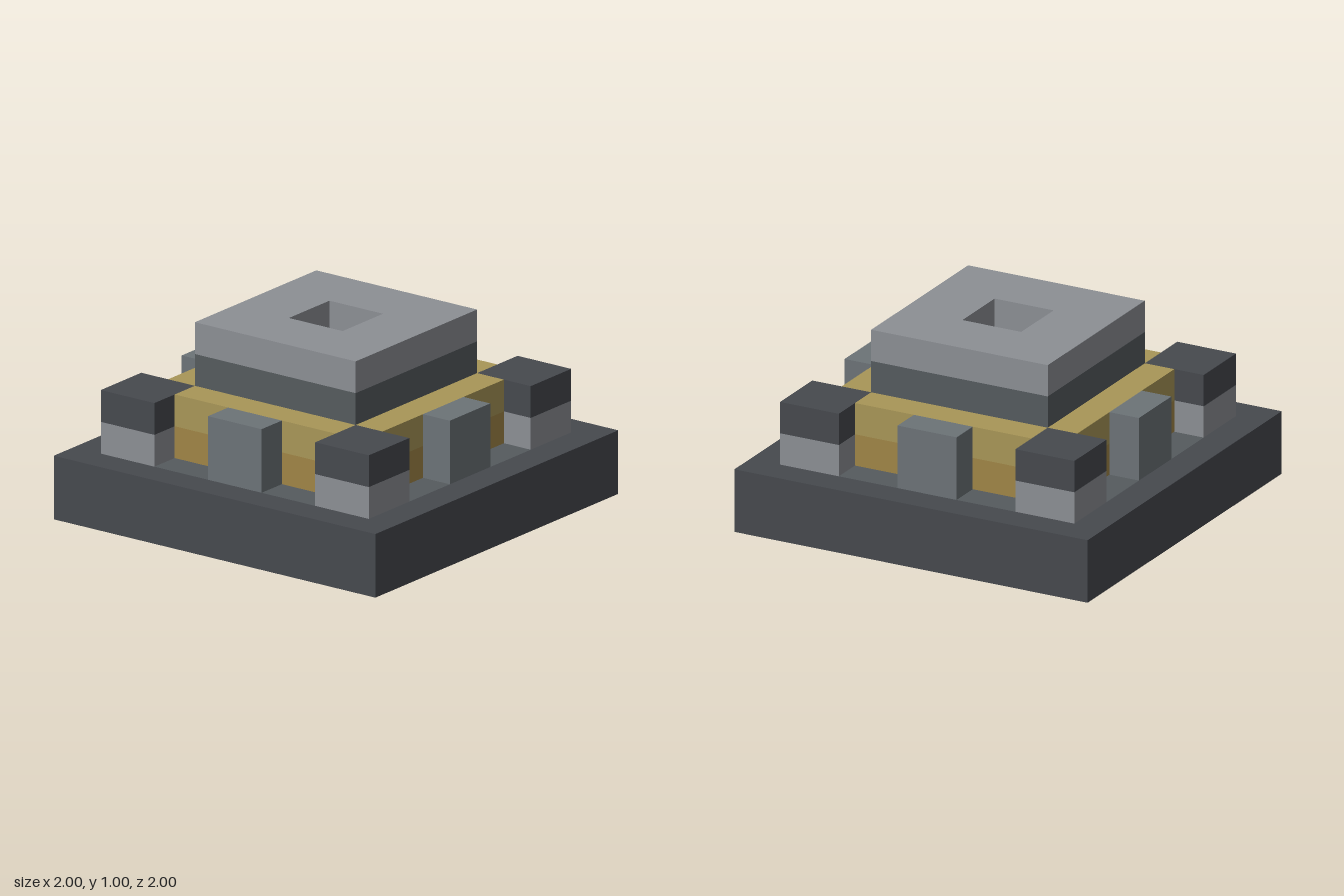
import * as THREE from 'three';

const U = 1 / 6; // grid unit: the model is 12 x 6 x 12 units

const paint = (color) => new THREE.MeshStandardMaterial({ color, flatShading: true });
const dark = paint(0x46494e);
const slate = paint(0x555b5e);
const stone = paint(0x6c7377);
const pale = paint(0x8c8f94);
const gold = paint(0xa89657);
const bronze = paint(0xa08546);

// Square outline of half-width r
const square = (r) => [[-r, -r], [r, -r], [r, r], [-r, r]];
const toPoints = (pts) => pts.map(([x, y]) => new THREE.Vector2(x * U, y * U));

// Upright prism from a plan outline, with an optional hole
function slab(name, outline, hole, y, height, material) {
  const shape = new THREE.Shape(toPoints(outline));
  if (hole) shape.holes.push(new THREE.Path(toPoints(hole)));
  const geometry = new THREE.ExtrudeGeometry(shape, { depth: height * U, bevelEnabled: false });
  geometry.rotateX(-Math.PI / 2);
  const mesh = new THREE.Mesh(geometry, material);
  mesh.name = name;
  mesh.position.y = y * U;
  return mesh;
}

function block(name, w, h, d, x, y, z, material) {
  const mesh = new THREE.Mesh(new THREE.BoxGeometry(w * U, h * U, d * U), material);
  mesh.name = name;
  mesh.position.set(x * U, (y + h / 2) * U, z * U);
  return mesh;
}

export function createModel() {
  const model = new THREE.Group();
  model.name = 'steppedBlock';

  // Base: dark border around a flush slate core
  model.add(slab('baseBorder', square(6), square(5), 0, 2, dark));
  model.add(slab('baseCore', square(5), null, 0, 2, slate));

  // Cross-shaped gold body in two tones
  const cross = [
    [-3, -4], [3, -4], [3, -3], [4, -3], [4, 3], [3, 3],
    [3, 4], [-3, 4], [-3, 3], [-4, 3], [-4, -3], [-3, -3],
  ];
  model.add(slab('bodyLower', cross, null, 2, 1, bronze));
  model.add(slab('bodyUpper', cross, null, 3, 1, gold));

  // Top tier in two tones, with a square well down to the gold
  model.add(slab('topTierLower', square(3), square(1), 4, 1, slate));
  model.add(slab('topTierUpper', square(3), square(1), 5, 1, pale));

  // One corner pillar and one side post per quarter turn
  for (let i = 0; i < 4; i++) {
    const side = new THREE.Group();
    side.name = `side${i + 1}`;
    side.add(block('cornerPillarLower', 2, 1, 2, 4, 2, 4, pale));
    side.add(block('cornerPillarCap', 2, 1, 2, 4, 3, 4, dark));
    side.add(block('sidePost', 2, 2, 1, 0, 2, 4.5, stone));
    side.rotation.y = (i * Math.PI) / 2;
    model.add(side);
  }

  return model;
}
